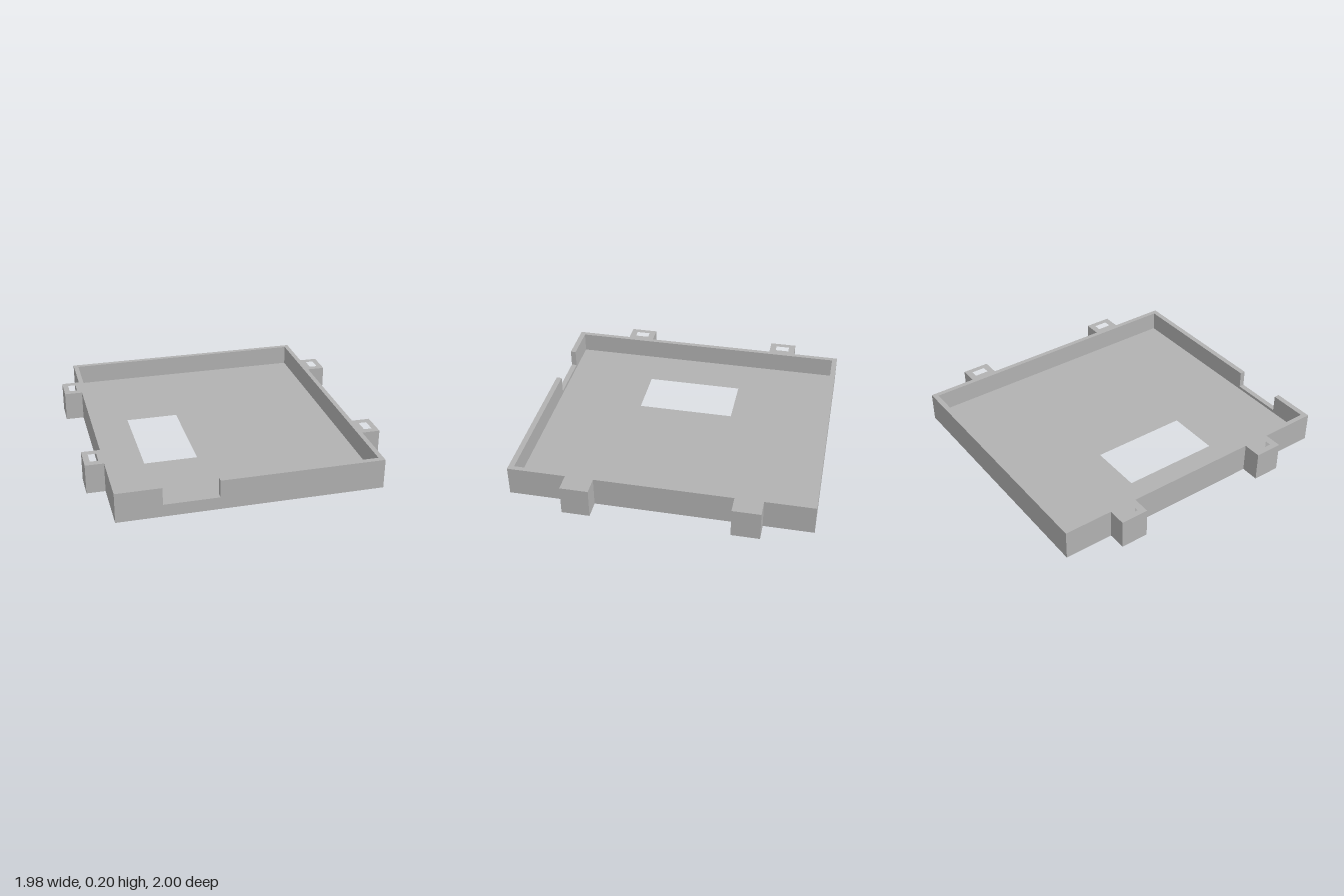
import * as THREE from 'three';

const HEIGHT = 0.2, FLOOR = 0.062, LEDGE = 0.031, LIP = 0.083;
const BODY_X = 0.866, INNER_X = 0.833, TAB_X = 0.988;
const BACK_Z = -0.965, FRONT_Z = 0.963;
const TABS = [[-0.672, -0.486], [0.425, 0.611]];
const WINDOW = [-0.571, -0.211, -0.297, 0.371];
const RECESS = [-0.64, -0.138, -0.366, 0.438];

// Rectangle in plan as corner points
const rect = (x0, x1, z0, z1) => [[x0, z0], [x1, z0], [x1, z1], [x0, z1]];

const toPoints = (list) => list.map(([x, z]) => new THREE.Vector2(x, -z));

// Extrudes a plan outline of [x, z] points upward from y0 to y1
function plan(outline, holes, y0, y1) {
  const shape = new THREE.Shape(toPoints(outline));
  holes.forEach((h) => shape.holes.push(new THREE.Path(toPoints(h))));
  return new THREE.ExtrudeGeometry(shape, { depth: y1 - y0, bevelEnabled: false })
    .rotateX(-Math.PI / 2)
    .translate(0, y0, 0);
}

export function createModel() {
  const group = new THREE.Group();
  const grey = new THREE.MeshStandardMaterial({ color: 0xb2b2b2 });
  grey.name = 'plain grey';

  const add = (name, geometry) => {
    const mesh = new THREE.Mesh(geometry, grey);
    mesh.name = name;
    group.add(mesh);
  };

  // Side and back walls in one piece, with the slotted tabs on both sides
  const rightSide = [[-BODY_X, -1]];
  const leftSide = [[BODY_X, -1]];
  const slots = [];
  for (const [z0, z1] of TABS) {
    for (const [side, s] of [[rightSide, -1], [leftSide, 1]]) {
      side.push([s * BODY_X, z0], [s * TAB_X, z0], [s * TAB_X, z1], [s * BODY_X, z1]);
      const xs = [s * 0.896, s * 0.95].sort((a, b) => a - b);
      slots.push(rect(xs[0], xs[1], z0 + 0.045, z1 - 0.045));
    }
  }
  const walls = [
    ...leftSide, [BODY_X, FRONT_Z], [INNER_X, FRONT_Z], [INNER_X, BACK_Z],
    [-INNER_X, BACK_Z], [-INNER_X, FRONT_Z], [-BODY_X, FRONT_Z], ...rightSide.reverse(),
  ];
  add('wallsWithTabs', plan(walls, slots, 0, HEIGHT));

  // Front wall with the notch in its top edge
  const front = new THREE.Shape([
    [-BODY_X, 0], [BODY_X, 0], [BODY_X, HEIGHT], [WINDOW[1], HEIGHT],
    [WINDOW[1], LIP], [WINDOW[0], LIP], [WINDOW[0], HEIGHT], [-BODY_X, HEIGHT],
  ].map(([x, y]) => new THREE.Vector2(x, y)));
  add('frontWall', new THREE.ExtrudeGeometry(front, { depth: 1 - FRONT_Z, bevelEnabled: false })
    .translate(0, 0, FRONT_Z));

  // Floor in two layers, leaving a stepped ledge around the window
  const floor = rect(-INNER_X, INNER_X, BACK_Z, FRONT_Z);
  add('lowerFloor', plan(floor, [rect(...WINDOW)], 0, LEDGE));
  add('upperFloor', plan(floor, [rect(...RECESS)], LEDGE, FLOOR));

  return group;
}
